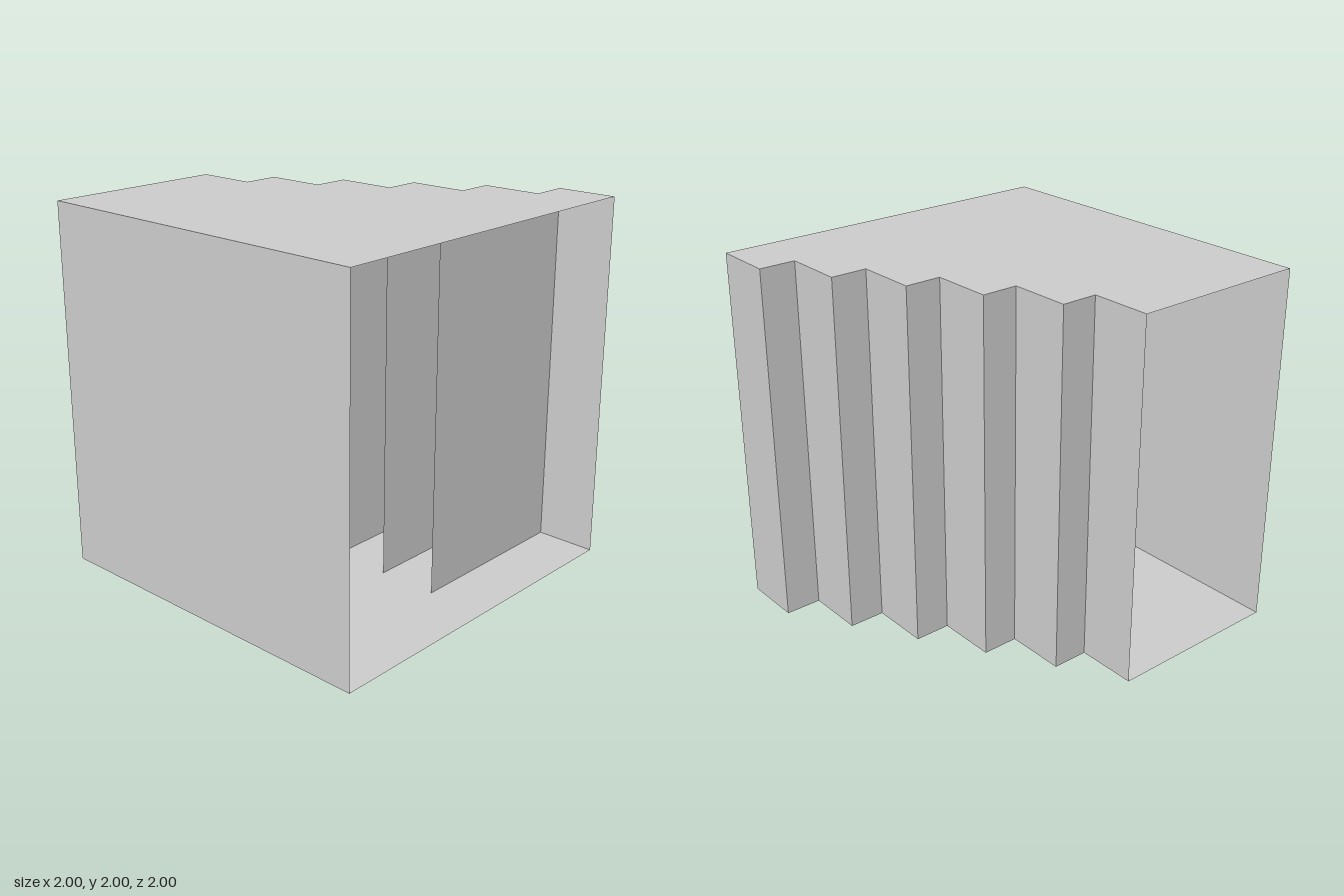
import * as THREE from 'three';

const STEPS = 6;
const WIDTH = 2 / STEPS; // width of one step along x
const DEPTH = 0.2;       // each step reaches this much further back
const HEIGHT = 2;

export function createModel() {
  const model = new THREE.Group();
  const material = new THREE.MeshStandardMaterial({
    color: 0xcccccc, flatShading: true, side: THREE.DoubleSide,
  });

  const add = (name, geometry, x, y, z) => {
    const mesh = new THREE.Mesh(geometry, material);
    mesh.name = name;
    mesh.position.set(x, y, z);
    model.add(mesh);
    return mesh;
  };

  // Stepped outline shared by floor and ceiling (shape y becomes z)
  const outline = new THREE.Shape();
  outline.moveTo(1, 1);
  outline.lineTo(-1, 1);
  for (let i = 0; i < STEPS; i++) {
    outline.lineTo(-1 + i * WIDTH, -i * DEPTH);
    outline.lineTo(-1 + (i + 1) * WIDTH, -i * DEPTH);
  }
  outline.closePath();
  const slab = new THREE.ShapeGeometry(outline).rotateX(Math.PI / 2);
  add('floor', slab, 0, 0, 0);
  add('ceiling', slab, 0, HEIGHT, 0);

  // Flat front wall; both ends stay open
  add('frontWall', new THREE.PlaneGeometry(2, HEIGHT), 0, HEIGHT / 2, 1);

  // Back panels, and the partitions running from each one in to z = 0
  for (let i = 0; i < STEPS; i++) {
    const x = -1 + i * WIDTH;
    const reach = i * DEPTH;
    const back = new THREE.PlaneGeometry(WIDTH, HEIGHT).rotateY(Math.PI);
    add(`backPanel${i + 1}`, back, x + WIDTH / 2, HEIGHT / 2, -reach);
    if (i > 0) {
      const side = new THREE.PlaneGeometry(reach, HEIGHT).rotateY(-Math.PI / 2);
      add(`partition${i}`, side, x, HEIGHT / 2, -reach / 2);
    }
  }
  return model;
}
